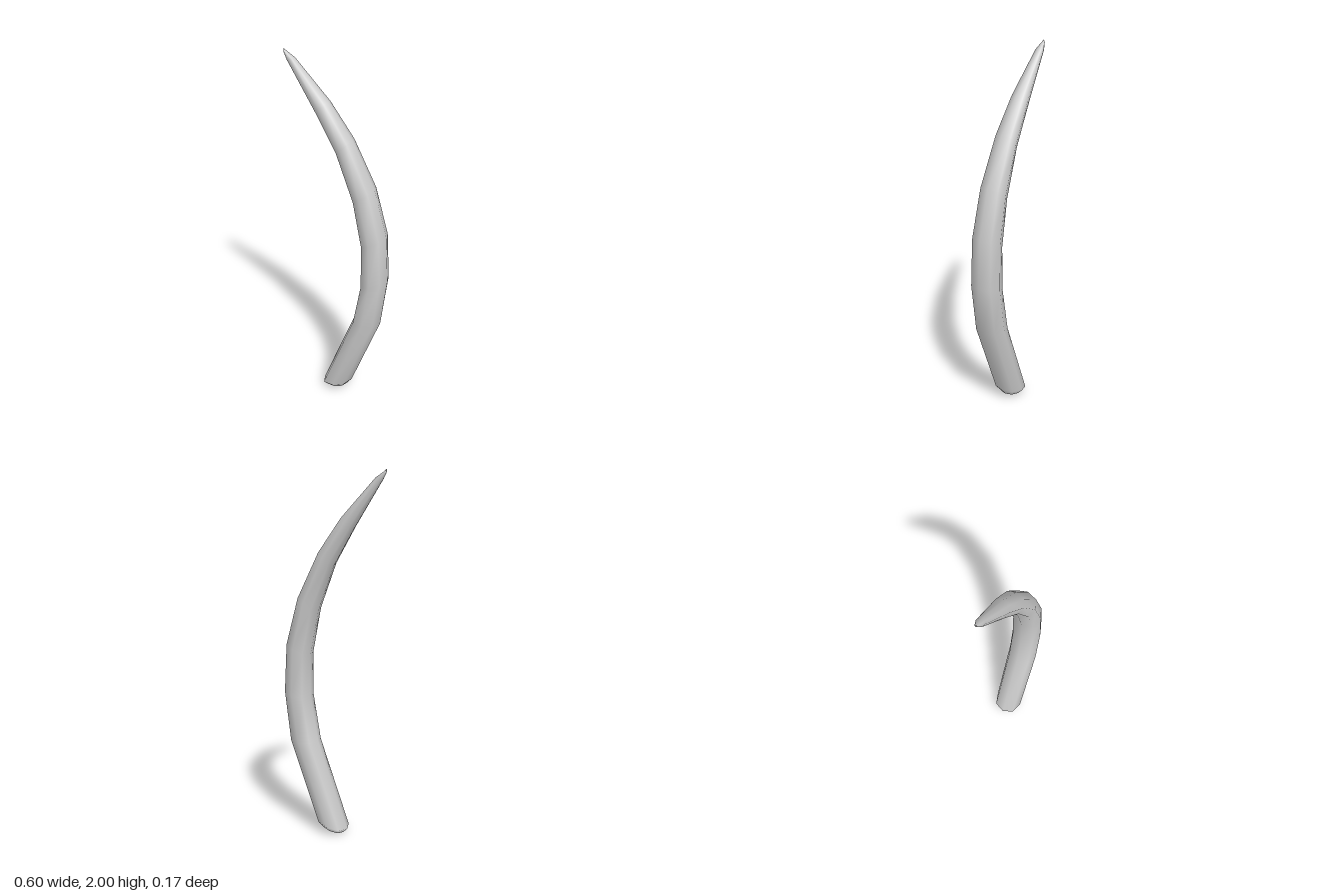
import * as THREE from 'three';

const SIDES = 8;

// Cross-sections from base to tip: inner x, inner y, outer x, outer y, half depth
const SECTIONS = [
  [-0.01, 0.0, -0.01, 0.0, 0],
  [-0.06, 0.006, 0.06, 0.03, 0.05],
  [-0.085, 0.03, 0.09, 0.07, 0.08],
  [0.1, 0.51, 0.26, 0.52, 0.084],
  [0.147, 0.76, 0.295, 0.8, 0.084],
  [0.147, 1.0, 0.28, 1.07, 0.081],
  [0.097, 1.25, 0.207, 1.33, 0.074],
  [0.0, 1.5, 0.08, 1.58, 0.062],
  [-0.12, 1.7, -0.05, 1.76, 0.047],
  [-0.282, 1.95, -0.24, 1.957, 0.022],
  [-0.3, 1.985, -0.292, 1.992, 0.008],
  [-0.3, 2.0, -0.3, 2.0, 0],
];

// Slightly squared ellipse term
const squared = (v) => Math.sign(v) * Math.abs(v) ** 0.87;

function loft(sections) {
  const positions = [];
  const index = [];
  sections.forEach(([ix, iy, ox, oy, depth], s) => {
    for (let k = 0; k < SIDES; k++) {
      const a = (k / SIDES) * Math.PI * 2;
      const t = (1 + squared(Math.cos(a))) / 2;
      positions.push(ix + (ox - ix) * t, iy + (oy - iy) * t, depth * squared(Math.sin(a)));
      if (s === sections.length - 1) continue;
      const a0 = s * SIDES + k;
      const b0 = s * SIDES + ((k + 1) % SIDES);
      const a1 = a0 + SIDES;
      const b1 = b0 + SIDES;
      if (s > 0) index.push(a0, a1, b0);
      if (s < sections.length - 2) index.push(b0, a1, b1);
      if (s === 0) index.push(b0, a1, b1);
    }
  });
  const geometry = new THREE.BufferGeometry();
  geometry.setAttribute('position', new THREE.Float32BufferAttribute(positions, 3));
  geometry.setIndex(index);
  geometry.computeVertexNormals();
  return geometry;
}

export function createModel() {
  const group = new THREE.Group();
  group.name = 'curvedTusk';
  // Tapering tusk with a rounded base and a pointed tip
  const tusk = new THREE.Mesh(loft(SECTIONS), new THREE.MeshStandardMaterial({ color: 0xcccccc }));
  tusk.name = 'tusk';
  group.add(tusk);
  return group;
}
